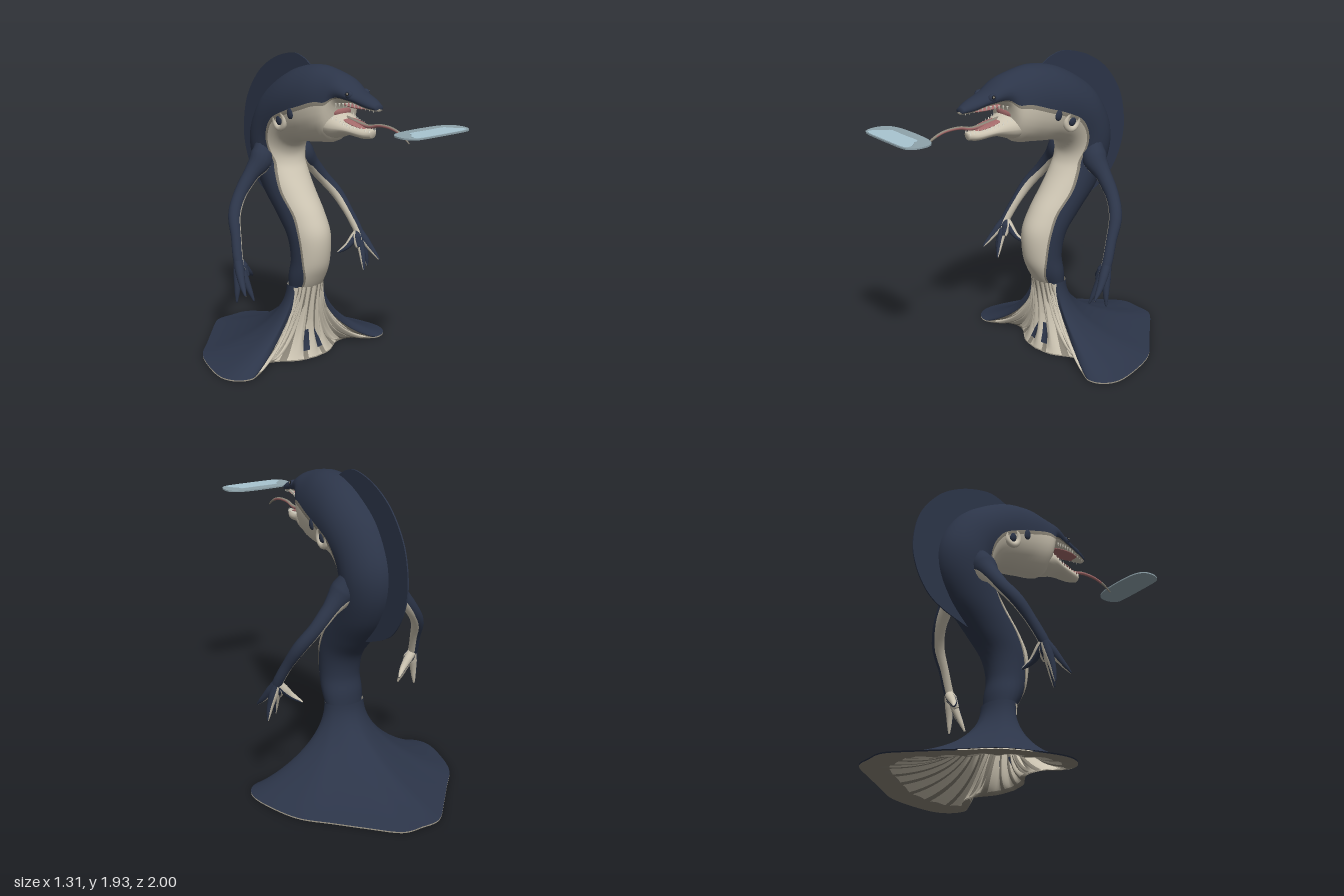
import * as THREE from 'three';

const V3 = (x, y, z) => new THREE.Vector3(x, y, z);
const material = (name, color) => new THREE.MeshStandardMaterial({ name, color, side: THREE.DoubleSide });

// Closed rings of points joined into one smooth skin; matOf(column, row) picks the material index
function loft(name, rings, mats, matOf = () => 0, caps = true) {
  const centre = (r) => r.reduce((s, p) => s.add(p), V3(0, 0, 0)).divideScalar(r.length);
  if (caps) {
    const first = rings[0], last = rings[rings.length - 1];
    rings = [first.map(() => centre(first)), ...rings, last.map(() => centre(last))];
  }
  const n = rings[0].length, lists = mats.map(() => []);
  for (let i = 0; i < rings.length - 1; i++) {
    for (let j = 0; j < n; j++) {
      const a = i * n + j, b = i * n + (j + 1) % n;
      lists[matOf(j, i)].push(a, b, a + n, b, b + n, a + n);
    }
  }
  const geo = new THREE.BufferGeometry().setFromPoints(rings.flat());
  geo.setIndex(lists.flat());
  let start = 0;
  lists.forEach((l, k) => { geo.addGroup(start, l.length, k); start += l.length; });
  geo.computeVertexNormals();
  const mesh = new THREE.Mesh(geo, mats);
  mesh.name = name;
  return mesh;
}

// Sections [topZ, topY, bottomZ, bottomY, halfWidth, colour split from 0 top to 1 bottom]
const HALF = 16, UPPER = 8;
function sectionRings(sections, steps) {
  const curve = (f) => new THREE.CatmullRomCurve3(sections.map(f), false, 'catmullrom', 0.5);
  const top = curve((s) => V3(0, s[1], s[0]));
  const bottom = curve((s) => V3(0, s[3], s[2]));
  const shape = curve((s) => V3(s[4], Math.acos(1 - 2 * s[5]) / Math.PI, 0));
  return Array.from({ length: steps + 1 }, (_, i) => {
    const t = i / steps, d = top.getPoint(t), v = bottom.getPoint(t), s = shape.getPoint(t);
    return Array.from({ length: HALF * 2 }, (_, k) => {
      const j = Math.abs(k - HALF), edge = Math.min(s.y + 0.035, 0.97);
      const f = j <= UPPER ? s.y * j / UPPER : edge + (1 - edge) * (j - UPPER - 1) / (HALF - UPPER - 1);
      const p = d.clone().lerp(v, (1 - Math.cos(f * Math.PI)) / 2);
      p.x = Math.sign(k - HALF) * s.x * Math.sin(f * Math.PI);
      return p;
    });
  });
}

// Tapered tube; column 0 faces the given outward direction
function tubeRings(points, radii, out, steps = 24, n = 16) {
  const path = new THREE.CatmullRomCurve3(points, false, 'catmullrom', 0.5);
  return Array.from({ length: steps + 1 }, (_, i) => {
    const t = i / steps, p = path.getPoint(t), T = path.getTangent(t);
    const N = out.clone().addScaledVector(T, -out.dot(T)).normalize();
    const B = T.clone().cross(N);
    const q = t * (radii.length - 1), k = Math.min(Math.floor(q), radii.length - 2);
    const r = THREE.MathUtils.lerp(radii[k], radii[k + 1], q - k);
    return Array.from({ length: n }, (_, j) => {
      const a = j / n * Math.PI * 2;
      return p.clone().addScaledVector(N, r * Math.cos(a)).addScaledVector(B, r * Math.sin(a));
    });
  });
}

export function createModel() {
  const model = new THREE.Group();
  const navy = material('navy skin', 0x2c3549), cream = material('cream belly', 0xcbc3b1);
  const taupe = material('taupe skin', 0x8a8477), pink = material('pink mouth', 0xa56b6b);
  const ivory = material('ivory teeth', 0xe2decf), black = material('dark eye', 0x15171c);
  const blue = material('blue grey disc', 0x8fa3ab), pale = material('pale blue disc', 0xa9c5d1);
  const add = (name, geo, mat, pos, scale) => {
    const m = new THREE.Mesh(geo, mat);
    m.name = name;
    if (pos) m.position.set(...pos);
    if (scale) m.scale.set(...scale);
    model.add(m);
    return m;
  };
  const ball = new THREE.SphereGeometry(1, 24, 16);

  // Snout, head, arched back and waist
  const body = [
    [0.497, 1.722, 0.497, 1.685, 0.03, 0.75], [0.433, 1.754, 0.428, 1.685, 0.055, 0.72],
    [0.326, 1.79, 0.31, 1.706, 0.08, 0.7], [0.22, 1.85, 0.2, 1.68, 0.115, 0.68],
    [0.11, 1.882, 0.15, 1.476, 0.152, 0.43], [-0.02, 1.898, -0.02, 1.433, 0.175, 0.5],
    [-0.18, 1.872, -0.17, 1.412, 0.187, 0.57], [-0.34, 1.797, -0.246, 1.38, 0.188, 0.6],
    [-0.5, 1.674, -0.28, 1.315, 0.183, 0.7], [-0.61, 1.476, -0.27, 1.25, 0.178, 0.84],
    [-0.615, 1.29, -0.225, 1.187, 0.165, 0.8], [-0.53, 1.1, -0.14, 1.085, 0.15, 0.72],
    [-0.385, 0.93, -0.043, 0.963, 0.137, 0.72], [-0.28, 0.807, 0.016, 0.834, 0.13, 0.66],
    [-0.24, 0.674, 0.005, 0.663, 0.125, 0.72], [-0.25, 0.556, -0.048, 0.54, 0.13, 0.86],
    [-0.25, 0.42, -0.125, 0.42, 0.11, 0.82],
  ];
  model.add(loft('body', sectionRings(body, 96), [navy, taupe, cream], (j) => {
    const s = j < HALF ? HALF - 1 - j : j - HALF;
    return s < UPPER ? 0 : s === UPPER ? 1 : 2;
  }));

  // Lower jaw and mouth lining
  const jaw = [
    [0.455, 1.572, 0.444, 1.524, 0.02, 0.5], [0.396, 1.578, 0.385, 1.513, 0.05, 0.5],
    [0.289, 1.594, 0.267, 1.518, 0.075, 0.5], [0.18, 1.642, 0.15, 1.482, 0.115, 0.5],
    [0.06, 1.64, 0.03, 1.48, 0.11, 0.5],
  ];
  model.add(loft('lowerJaw', sectionRings(jaw, 28), [cream]));
  add('mouthLining', ball, pink, [0, 1.645, 0.16], [0.085, 0.04, 0.04]);
  add('palate', ball, pink, [0, 1.694, 0.33], [0.055, 0.012, 0.12]);
  add('mouthFloor', ball, pink, [0, 1.594, 0.3], [0.054, 0.009, 0.11]).rotation.x = 0.2;

  // Tongue, greyish on top and pink beneath
  const tongue = [V3(0, 1.615, 0.2), V3(0, 1.588, 0.4), V3(0, 1.607, 0.5), V3(0, 1.605, 0.6), V3(0, 1.58, 0.68), V3(0, 1.54, 0.74)];
  model.add(loft('tongue', tubeRings(tongue, [0.014, 0.012, 0.01, 0.009, 0.008, 0.003], V3(0, 1, 0), 24, 12), [taupe, pink],
    (j, i) => (Math.cos((j + 0.5) / 6 * Math.PI) > 0.3 || i > 18 ? 0 : 1)));

  // Teeth along both jaws
  const tooth = new THREE.ConeGeometry(0.007, 0.026, 6);
  for (const side of [-1, 1]) {
    for (let i = 0; i < 11; i++) {
      const t = i / 10, z = 0.475 - 0.25 * t;
      add('upperTooth', tooth, ivory, [side * (0.026 + 0.062 * t), 1.69 + 0.014 * Math.sin(t * 3), z]).rotation.x = Math.PI;
      add('lowerTooth', tooth, ivory, [side * (0.022 + 0.06 * t), 1.572 + 0.045 * t * t, z - 0.035]);
    }
    // Eyes, ear spots and gill rings
    add('eyeSocket', ball, navy, [side * 0.064, 1.762, 0.31], [0.022, 0.025, 0.03]);
    add('eye', ball, black, [side * 0.078, 1.767, 0.315], [0.009, 0.013, 0.014]);
    add('eyeGlint', ball, taupe, [side * 0.084, 1.77, 0.318], [0.004, 0.007, 0.007]);
    add('earSpot', ball, navy, [side * 0.173, 1.615, -0.09], [0.016, 0.036, 0.026]);
    add('gillRing', new THREE.TorusGeometry(0.047, 0.018, 12, 32), cream, [side * 0.167, 1.56, -0.2], [1, 1.1, 1]).rotation.y = Math.PI / 2;
    add('gillSpot', ball, navy, [side * 0.17, 1.56, -0.2], [0.018, 0.034, 0.027]);
  }

  // Thin fin following the back
  const fin = new THREE.Shape();
  fin.moveTo(-0.1, 1.88);
  fin.splineThru([[-0.18, 1.925], [-0.29, 1.942], [-0.47, 1.893], [-0.635, 1.786], [-0.76, 1.61], [-0.802, 1.4],
    [-0.77, 1.235], [-0.69, 1.1], [-0.58, 1.02], [-0.38, 0.94]].map((p) => new THREE.Vector2(...p)));
  [[-0.4, 1.1], [-0.45, 1.4], [-0.35, 1.65], [-0.15, 1.8]].forEach((p) => fin.lineTo(...p));
  const finGeo = new THREE.ExtrudeGeometry(fin, { depth: 0.008, bevelEnabled: false, curveSegments: 50 });
  finGeo.translate(0, 0, -0.004).rotateY(-Math.PI / 2);
  add('backFin', finGeo, navy);

  // Arms and hands, navy outside and cream on the inner side and palms
  const twoTone = (j) => (Math.cos((j + 0.5) / 16 * Math.PI * 2) > -0.25 ? 0 : 1);
  for (const s of [-1, 1]) {
    const limb = (name, pts, radii, outZ) => model.add(loft(name,
      tubeRings(pts.map(([x, y, z]) => V3(s * x, y, z)), radii, V3(s, 0, outZ)), [navy, cream], twoTone));
    limb('arm', [[0.1, 1.42, -0.44], [0.155, 1.29, -0.4], [0.24, 1.2, -0.4], [0.335, 1.09, -0.39], [0.415, 0.98, -0.345],
      [0.455, 0.86, -0.275], [0.487, 0.74, -0.215], [0.488, 0.67, -0.18]], [0.045, 0.083, 0.05, 0.041, 0.04, 0.032, 0.031, 0.028], 0.1);
    limb('palm', [[0.49, 0.75, -0.22], [0.468, 0.69, -0.2], [0.455, 0.63, -0.17]], [0.022, 0.036, 0.018], 0.9);
    const tips = [[0.35, 0.595, -0.26], [0.45, 0.49, -0.11], [0.535, 0.485, -0.17], [0.545, 0.555, -0.065]];
    for (const [x, y, z] of tips) {
      const mid = [(x + 0.49) / 2 + (x - 0.46) * 0.1, (y + 0.69) / 2, (z - 0.19) / 2];
      limb('finger', [[0.49, 0.73, -0.21], mid, [x, y, z]], [0.028, 0.028, 0.021, 0.015, 0.006], 0.9);
    }
  }

  // Tail fluke: a skirt falling from the waist to a wide outline [x, z, turn], recessed beside the middle of the front
  const outline = new THREE.CatmullRomCurve3([
    [0, -0.06, 0], [0.13, -0.085, 0.1], [0.27, -0.17, 0.18], [0.4, -0.15, 0.24], [0.5, -0.05, 0.3],
    [0.6, -0.075, 0.4], [0.652, -0.18, 0.5], [0.625, -0.35, 0.6], [0.55, -0.545, 0.67], [0.41, -0.7, 0.75],
    [0.28, -0.84, 0.83], [0.16, -0.965, 0.92], [0.09, -1, 0.96], [0, -1, 1],
  ].map((p) => V3(...p)), false, 'catmullrom', 0.5);
  const COLS = 180, FRONT = 0.3, FOLDS = 24;
  const turn = (j) => j / COLS * 2 - 1;
  const skirt = (dir, base, power, foldAt) => Array.from({ length: 25 }, (_, i) => {
    const t = i / 24, h = t * t;
    return Array.from({ length: COLS }, (_, j) => {
      const u = turn(j), v = Math.abs(u), o = outline.getPoint(v), a = o.z * Math.PI;
      const front = 1 - THREE.MathUtils.smoothstep(v, FRONT, 0.42);
      const fold = foldAt(v) * Math.sin(Math.PI * t) * Math.cos(v * Math.PI * FOLDS);
      const x = THREE.MathUtils.lerp(0.13 * Math.sin(a), o.x, h);
      const z = THREE.MathUtils.lerp(-0.17 + 0.095 * Math.cos(a), o.y, h);
      const y = base + 0.48 * Math.pow(1 - t, power) + fold * 0.5;
      return V3(dir * Math.sign(u) * x, Math.max(y, 0.004), z + front * (fold - 0.04 * Math.sin(Math.PI * t)));
    });
  });
  const ridge = (j) => Math.cos(Math.abs(turn(j + 0.5)) * Math.PI * FOLDS) > -0.65;
  model.add(loft('tailFluke', skirt(-1, 0.02, 1.15, (v) => (v < FRONT ? 0.018 : 0)), [navy, cream, taupe], (j, i) => {
    const v = Math.abs(turn(j + 0.5));
    const hollow = v > 0.025 && v < 0.06 && i > 13 && i < 21;
    return v > FRONT || hollow ? 0 : ridge(j) ? 1 : 2;
  }, false));
  model.add(loft('flukeUnderside', skirt(1, 0.012, 1.6, () => 0.018), [cream, taupe],
    (j, i) => (ridge(j) && i < 21 ? 0 : 1), false));

  // Floating disc in front of the tongue
  const plate = (name, pts, depth, y, mat) => {
    const curve = new THREE.SplineCurve([...pts, ...pts.map(([x, z]) => [-x, z]).reverse()].map(([x, z]) => new THREE.Vector2(x, -z)));
    const geo = new THREE.ExtrudeGeometry(new THREE.Shape(curve.getPoints(60)), { depth, bevelEnabled: false });
    add(name, geo.rotateX(-Math.PI / 2), mat, [0, y, 0]);
  };
  plate('disc', [[0.02, 0.8], [0.14, 0.808], [0.215, 0.84], [0.237, 0.9], [0.225, 0.96], [0.18, 0.995], [0.02, 1]], 0.009, 1.626, blue);
  plate('discCentre', [[0.02, 0.868], [0.125, 0.868], [0.145, 0.9], [0.19, 0.95], [0.17, 0.99], [0.02, 0.995]], 0.003, 1.634, pale);

  return model;
}
